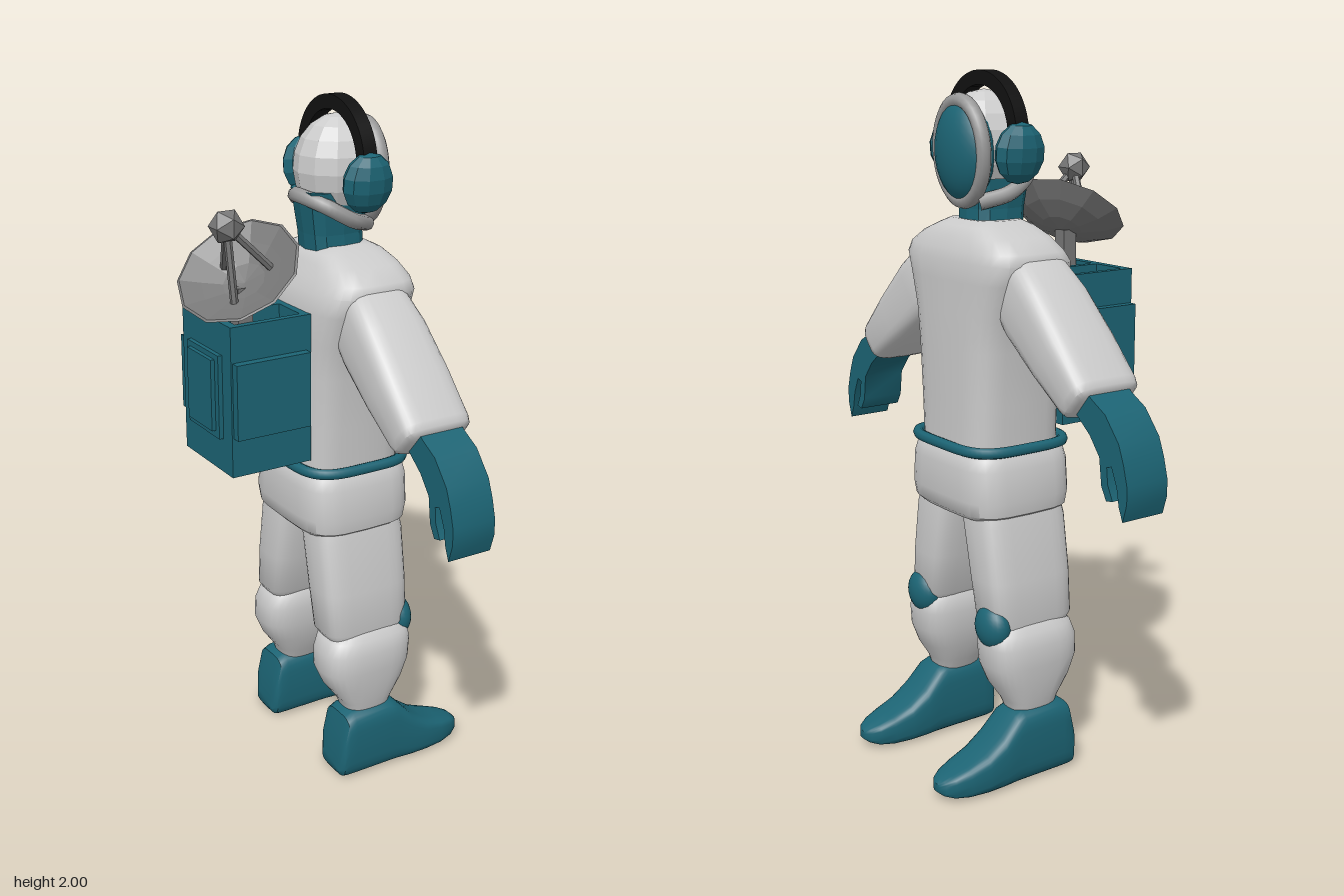
import * as THREE from 'three';
import { toCreasedNormals } from 'three/addons/utils/BufferGeometryUtils.js';

const V = (x, y, z) => new THREE.Vector3(x, y, z);
const mat = (color, extra = {}) => new THREE.MeshStandardMaterial({ color, ...extra });
const suit = mat(0xcccccc);
const suitFlat = mat(0xcccccc, { flatShading: true });
const teal = mat(0x1c6474);
const tealFlat = mat(0x1c6474, { flatShading: true });
const trim = mat(0x999999);
const metal = mat(0x777777, { flatShading: true, side: THREE.DoubleSide });
const black = mat(0x111111);

function add(parent, name, geometry, material, pos = [0, 0, 0]) {
  const mesh = new THREE.Mesh(geometry, material);
  mesh.name = name;
  mesh.position.set(...pos);
  parent.add(mesh);
  return mesh;
}

// Point on a rounded rectangle (superellipse) with half sizes ha, hb
function rounded(angle, ha, hb, power) {
  const f = (v) => Math.sign(v) * Math.abs(v) ** (2 / power);
  return [ha * f(Math.cos(angle)), hb * f(Math.sin(angle))];
}

// Solid through rounded cross-sections [t, centreA, centreB, halfA, halfB].
// axis 'y': t = y, A = x, B = z.  axis 'x': t = x, A = y, B = z.
function loft(sections, { axis = 'y', power = 4, n = 28, crease = 0.75 } = {}) {
  const first = sections[0], last = sections[sections.length - 1];
  const rings = [[...first.slice(0, 3), 0, 0], ...sections, [...last.slice(0, 3), 0, 0]];
  const pos = [], index = [];
  for (const [t, ca, cb, ha, hb] of rings) {
    for (let i = 0; i < n; i++) {
      const [a, b] = rounded((i / n) * Math.PI * 2, ha, hb, power);
      if (axis === 'y') pos.push(ca + a, t, cb + b);
      else pos.push(t, ca + a, cb + b);
    }
  }
  for (let r = 0; r < rings.length - 1; r++) {
    for (let i = 0; i < n; i++) {
      const j = (i + 1) % n;
      const a = r * n + i, b = r * n + j, c = a + n, d = b + n;
      if (axis === 'y') index.push(a, c, b, b, c, d);
      else index.push(a, b, c, b, d, c);
    }
  }
  const g = new THREE.BufferGeometry();
  g.setAttribute('position', new THREE.Float32BufferAttribute(pos, 3));
  g.setIndex(index);
  return toCreasedNormals(g, crease);
}

const ball = (rx, ry, rz, w = 24, h = 16) => new THREE.SphereGeometry(1, w, h).scale(rx, ry, rz);

// Straight rod between two points
function rod(parent, name, from, to, radius, material) {
  const dir = to.clone().sub(from);
  const mesh = add(parent, name, new THREE.CylinderGeometry(radius, radius, dir.length(), 6), material);
  mesh.position.copy(from).add(to).multiplyScalar(0.5);
  mesh.quaternion.setFromUnitVectors(V(0, 1, 0), dir.normalize());
}

function addTorso(g) {
  add(g, 'torso', loft([
    [0.97, 0.08, 0, 0.155, 0.17], [1.1, 0.08, 0, 0.156, 0.175], [1.25, 0.08, 0, 0.157, 0.185],
    [1.35, 0.08, 0, 0.157, 0.2], [1.44, 0.08, 0, 0.155, 0.235], [1.495, 0.085, 0, 0.15, 0.255],
    [1.525, 0.09, 0, 0.135, 0.245], [1.56, 0.09, 0, 0.12, 0.19], [1.585, 0.09, 0, 0.1, 0.13],
    [1.6, 0.09, 0, 0.07, 0.1]]), suit);
  // Pelvis, its underside arched between the legs
  const hips = loft([
    [0.775, 0.08, 0, 0.155, 0.185], [0.79, 0.08, 0, 0.17, 0.205], [0.83, 0.08, 0, 0.176, 0.21],
    [0.92, 0.08, 0, 0.176, 0.2], [0.95, 0.08, 0, 0.17, 0.19], [0.975, 0.08, 0, 0.155, 0.175]]);
  add(g, 'hips', hips, suit);
  const beltPath = [];
  for (let i = 0; i < 32; i++) {
    const [x, z] = rounded((i / 32) * Math.PI * 2, 0.167, 0.19, 4);
    beltPath.push(V(0.08 + x, 0.975, z));
  }
  add(g, 'belt', new THREE.TubeGeometry(new THREE.CatmullRomCurve3(beltPath, true), 96, 0.016, 8, true), teal);
}

function addArm(g, s) {
  // Sleeve
  const from = V(0.08, 1.435, 0.19 * s), to = V(0.08, 1.168, 0.508 * s);
  const dir = to.clone().sub(from), len = dir.length();
  const sleeve = add(g, 'sleeve', loft([
    [-0.03, 0, 0, 0.085, 0.08], [0, 0, 0, 0.1, 0.095], [0.1, 0, 0, 0.108, 0.1], [0.25, 0, 0, 0.112, 0.085],
    [len - 0.03, 0, 0, 0.11, 0.067], [len - 0.01, 0, 0, 0.105, 0.062], [len, 0, 0, 0.09, 0.05]]), suit);
  sleeve.position.copy(from);
  sleeve.quaternion.setFromUnitVectors(V(0, 1, 0), dir.normalize());
  // Mitten with a thumb, cut from one outline
  const outline = [[0.5, 1.23], [0.545, 1.195], [0.6, 1.165], [0.655, 1.1], [0.675, 1.05], [0.69, 0.995],
    [0.69, 0.95], [0.675, 0.9], [0.66, 0.935], [0.65, 0.985], [0.628, 1.035], [0.61, 1.03], [0.615, 0.985],
    [0.635, 0.945], [0.61, 0.94], [0.59, 0.975], [0.58, 1.05], [0.54, 1.1], [0.47, 1.155]];
  const shape = new THREE.Shape(outline.map(([z, y]) => new THREE.Vector2(z * s, y)));
  const glove = new THREE.ExtrudeGeometry(shape, { depth: 0.135, bevelEnabled: false });
  add(g, 'glove', toCreasedNormals(glove.rotateY(-Math.PI / 2), 0.6), teal, [0.15, 0, 0]);
}

function addLeg(g, s) {
  add(g, 'thigh', loft([
    [0.455, 0.08, 0.17 * s, 0.125, 0.065], [0.475, 0.08, 0.167 * s, 0.138, 0.073],
    [0.6, 0.08, 0.148 * s, 0.142, 0.081], [0.76, 0.08, 0.118 * s, 0.144, 0.085],
    [0.81, 0.08, 0.11 * s, 0.135, 0.08]]), suit);
  add(g, 'shin', loft([
    [0.2, 0.08, 0.193 * s, 0.07, 0.05], [0.235, 0.08, 0.19 * s, 0.082, 0.063],
    [0.29, 0.078, 0.183 * s, 0.12, 0.08], [0.35, 0.077, 0.18 * s, 0.145, 0.09],
    [0.41, 0.08, 0.178 * s, 0.146, 0.093], [0.45, 0.085, 0.174 * s, 0.138, 0.084],
    [0.472, 0.087, 0.17 * s, 0.115, 0.068]], { power: 3 }), suit);
  add(g, 'kneePad', ball(0.045, 0.066, 0.064), teal, [0.197, 0.468, 0.177 * s]);
  // Boot, lofted from heel to toe
  const z = 0.203 * s;
  const heights = [[-0.04, 0.02, 0.06, 0.05], [-0.03, 0.004, 0.14, 0.066], [-0.015, 0, 0.205, 0.07],
    [0.01, 0, 0.217, 0.072], [0.14, 0, 0.217, 0.072], [0.165, 0, 0.207, 0.072], [0.215, 0, 0.155, 0.073],
    [0.27, 0, 0.115, 0.07], [0.33, 0.003, 0.092, 0.063], [0.375, 0.01, 0.077, 0.05],
    [0.4, 0.02, 0.066, 0.034], [0.412, 0.03, 0.055, 0.015]];
  add(g, 'boot', loft(heights.map(([x, lo, hi, w]) => [x, (lo + hi) / 2, z, (hi - lo) / 2, w]), { axis: 'x' }), teal);
}

function addHead(g) {
  const neck = loft([[1.56, 0.075, 0, 0.083, 0.078], [1.63, 0.07, 0, 0.085, 0.074], [1.75, 0.066, 0, 0.1, 0.085]],
    { power: 3, n: 12 });
  add(g, 'neck', neck, tealFlat);
  // Faceted shell, open below
  const shell = new THREE.SphereGeometry(1, 12, 7, 0, Math.PI * 2, 0, Math.PI * 0.72).scale(0.128, 0.145, 0.115);
  const shellMat = suitFlat.clone();
  shellMat.side = THREE.DoubleSide;
  add(g, 'helmet', shell, shellMat, [0.095, 1.805, 0]);
  add(g, 'visor', ball(0.065, 0.14, 0.113), teal, [0.16, 1.787, 0]);
  const rim = add(g, 'visorRim', new THREE.TorusGeometry(1, 0.16, 10, 36).rotateY(Math.PI / 2), trim, [0.17, 1.785, 0]);
  rim.scale.set(0.14, 0.135, 0.106);
  rim.rotation.z = -0.04;
  const collar = new THREE.CatmullRomCurve3([V(0.155, 1.65, 0.06), V(0.08, 1.675, 0.1), V(0.01, 1.715, 0.08),
    V(-0.025, 1.735, 0), V(0.01, 1.715, -0.08), V(0.08, 1.675, -0.1), V(0.155, 1.65, -0.06)]);
  add(g, 'helmetCollar', new THREE.TubeGeometry(collar, 40, 0.022, 8), trim);

  // Headphones
  const arc = new THREE.Shape();
  arc.absarc(0, 0, 0.172, 0, Math.PI, false);
  arc.absarc(0, 0, 0.133, Math.PI, 0, true);
  const band = new THREE.ExtrudeGeometry(arc, { depth: 0.042, bevelEnabled: false, curveSegments: 20 });
  add(g, 'headphoneBand', toCreasedNormals(band.rotateY(-Math.PI / 2), 0.6), black, [0.111, 1.828, 0]);
  for (const s of [1, -1]) add(g, 'earCup', ball(0.078, 0.083, 0.047, 10, 7).rotateX(0.1 * s), tealFlat, [0.09, 1.785, 0.158 * s]);
}

function addBackpack(g) {
  const box = (name, x0, x1, y0, y1, z0, z1) => add(g, name, new THREE.BoxGeometry(x1 - x0, y1 - y0, z1 - z0),
    tealFlat, [(x0 + x1) / 2, (y0 + y1) / 2, (z0 + z1) / 2]);
  box('packBody', -0.32, -0.07, 1.01, 1.34, -0.155, 0.125);
  // Open compartments on top
  box('packWall', -0.32, -0.295, 1.34, 1.44, -0.155, 0.125);
  box('packWall', -0.095, -0.07, 1.34, 1.44, -0.155, 0.125);
  for (const z of [-0.155, -0.025, 0.105]) box('packDivider', -0.295, -0.095, 1.34, 1.44, z, z + 0.02);
  // Pockets on the sides and back
  box('sidePocket', -0.315, -0.085, 1.125, 1.34, -0.18, -0.155);
  box('sidePocket', -0.315, -0.085, 1.125, 1.34, 0.125, 0.15);
  box('backPocket', -0.333, -0.32, 1.11, 1.35, -0.105, 0.075);
  box('backPocket', -0.345, -0.333, 1.13, 1.335, -0.085, 0.055);
}

function addDish(g) {
  const center = V(-0.272, 1.575, 0.094), normal = V(-0.55, 0.78, 0.28).normalize();
  const dish = new THREE.Group();
  dish.name = 'dish';
  dish.position.copy(center);
  dish.quaternion.setFromUnitVectors(V(0, 1, 0), normal);
  g.add(dish);
  const profile = [[0, -0.055], [0.06, -0.045], [0.12, -0.022], [0.175, 0.012], [0.168, 0.014],
    [0.115, -0.01], [0.06, -0.032], [0, -0.04]].map(([r, y]) => new THREE.Vector2(r, y));
  add(dish, 'dishBowl', new THREE.LatheGeometry(profile, 11), metal);
  // Feed on three struts
  const feed = V(-0.322, 1.712, 0.12);
  add(g, 'dishFeed', new THREE.IcosahedronGeometry(0.048, 0), metal, feed.toArray());
  for (let i = 0; i < 3; i++) {
    const a = (i / 3) * Math.PI * 2 + 0.4;
    const foot = V(Math.cos(a) * 0.08, -0.025, Math.sin(a) * 0.08).applyQuaternion(dish.quaternion).add(center);
    rod(g, 'dishStrut', foot, feed, 0.011, metal);
  }
  add(g, 'dishMast', new THREE.BoxGeometry(0.045, 0.2, 0.045), metal, [-0.26, 1.435, 0.08]);
}

export function createModel() {
  const model = new THREE.Group();
  model.name = 'astronaut';
  const figure = new THREE.Group();
  figure.name = 'figure';
  figure.position.z = -0.006;
  model.add(figure);
  addTorso(figure);
  addHead(figure);
  for (const s of [1, -1]) {
    addArm(figure, s);
    addLeg(figure, s);
  }
  addBackpack(model);
  addDish(model);
  return model;
}
